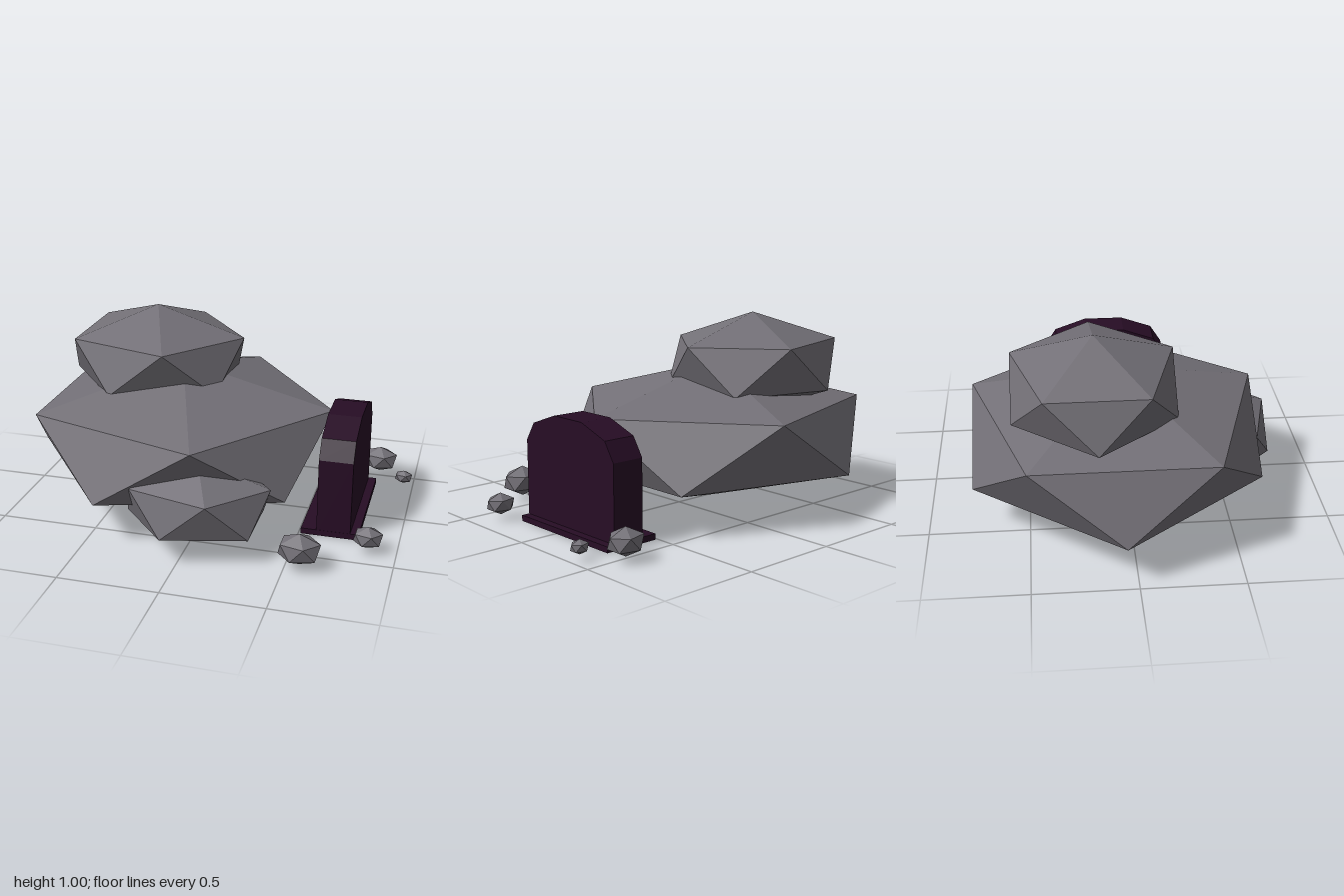
import * as THREE from 'three';
import { ConvexGeometry } from 'three/addons/geometries/ConvexGeometry.js';

const stone = new THREE.MeshStandardMaterial({ color: 0x737077, flatShading: true });
stone.name = 'stone grey';
const darkPlum = new THREE.MeshStandardMaterial({ color: 0x270d25, flatShading: true });
darkPlum.name = 'dark plum';

// Unit icosahedron standing on a point, with two staggered rings of five
function rockGeometry() {
  const points = [new THREE.Vector3(0, 1, 0), new THREE.Vector3(0, -1, 0)];
  const y = 1 / Math.sqrt(5), r = 2 * y;
  for (let i = 0; i < 10; i++) {
    const a = (i * Math.PI) / 5;
    points.push(new THREE.Vector3(r * Math.cos(a), i % 2 ? -y : y, r * Math.sin(a)));
  }
  return new ConvexGeometry(points);
}

export function createModel() {
  const model = new THREE.Group();
  model.name = 'rockPileWithDoor';

  // Boulders and pebbles: name, centre, radii
  const rock = rockGeometry();
  const rocks = [
    ['mainBoulder', [-0.196, 0.378, -0.055], [0.89, 0.362, 0.846]],
    ['topBoulder', [-0.365, 0.73, -0.172], [0.521, 0.265, 0.467]],
    ['frontBoulder', [0.04, 0.232, 0.5], [0.405, 0.218, 0.317]],
    ['pebbleFrontLarge', [0.568, 0.1, 0.615], [0.115, 0.08, 0.091]],
    ['pebbleFrontSmall', [0.86, 0.08, 0.382], [0.08, 0.056, 0.064]],
    ['pebbleBackLarge', [0.805, 0.09, -0.525], [0.1, 0.07, 0.081]],
    ['pebbleBackSmall', [0.95, 0.063, -0.38], [0.051, 0.036, 0.04]],
  ];
  for (const [name, position, radii] of rocks) {
    const mesh = new THREE.Mesh(rock, stone);
    mesh.name = name;
    mesh.position.set(...position);
    mesh.scale.set(...radii);
    model.add(mesh);
  }

  // Arched door slab facing +x
  const door = new THREE.Group();
  door.name = 'door';
  door.position.z = -0.055;
  const half = [[0.335, 0], [0.335, 0.41], [0.275, 0.503], [0.105, 0.563]];
  const outline = [...half, ...half.map(([x, y]) => [-x, y]).reverse()];
  const shape = new THREE.Shape(outline.map(([x, y]) => new THREE.Vector2(x, y)));
  const archGeometry = new THREE.ExtrudeGeometry(shape, { depth: 0.17, bevelEnabled: false });
  archGeometry.rotateY(Math.PI / 2);
  const arch = new THREE.Mesh(archGeometry, darkPlum);
  arch.name = 'doorArch';
  arch.position.x = 0.59;
  door.add(arch);

  // Doorstep
  const step = new THREE.Mesh(new THREE.BoxGeometry(0.29, 0.03, 0.672), darkPlum);
  step.name = 'doorStep';
  step.position.set(0.657, 0.015, 0);
  door.add(step);
  model.add(door);

  return model;
}
